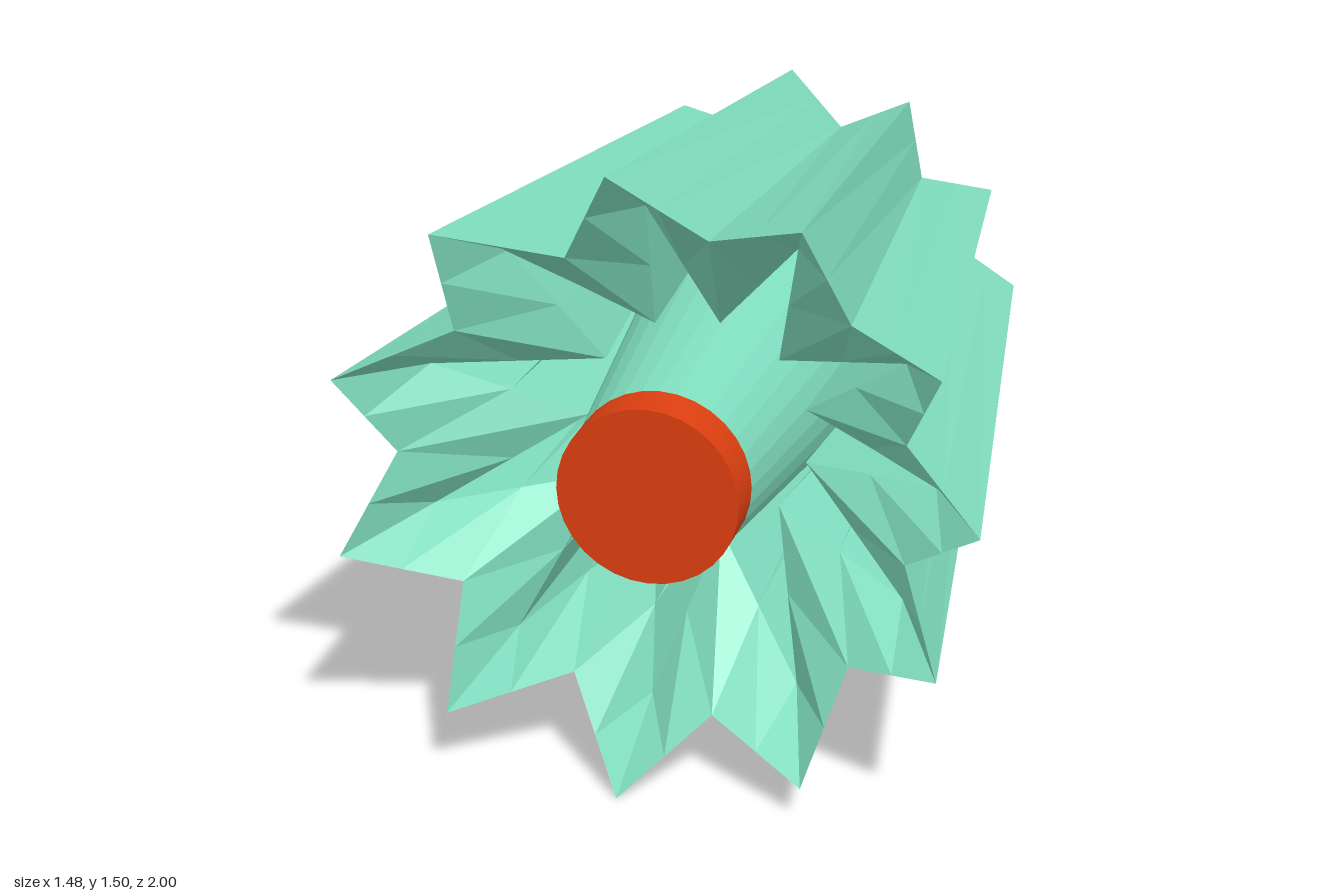
import * as THREE from 'three';

const CX = -0.015, CY = 0.753, SUB = 2;
const green = new THREE.MeshStandardMaterial({ color: 0x7fdcbd, flatShading: true, side: THREE.DoubleSide });
const red = new THREE.MeshStandardMaterial({ color: 0xdc3f10, side: THREE.DoubleSide });

// Half of the star, mirrored below: angles in degrees, ridge and valley alternating
const HALF_ANGLES = [0, 14.4, 28.3, 43.4, 61.7, 78.5, 95.7, 112.6, 129.3, 146.9, 163.3, 180];
const VALLEY_RADII = [0.58, 0.6, 0.588, 0.55, 0.567, 0.622];
const CORNERS = 22;

function cornerAngle(i) {
  const deg = i < 12 ? HALF_ANGLES[i] : 360 - HALF_ANGLES[CORNERS - i];
  return THREE.MathUtils.degToRad(deg);
}

// Closed ring of points; corner(i, isRidge) gives [radius, z]
function ring(corner) {
  const pts = [];
  for (let i = 0; i < CORNERS; i++) {
    const a = cornerAngle(i);
    const [r, z] = corner(i, i % 2 === 0);
    pts.push(new THREE.Vector3(r * Math.cos(a), r * Math.sin(a), z));
  }
  return pts.flatMap((p, i) =>
    Array.from({ length: SUB }, (_, k) => p.clone().lerp(pts[(i + 1) % CORNERS], k / SUB)));
}

// Round ring with points at the same spacing as the star rings
function circle(r, z) {
  return ring(() => [1, z]).map((p) => {
    const a = Math.atan2(p.y, p.x);
    return new THREE.Vector3(r * Math.cos(a), r * Math.sin(a), z);
  });
}

// Skin a list of rings
function skin(rings) {
  const pos = [];
  const add = (...ps) => ps.forEach((p) => pos.push(p.x, p.y, p.z));
  for (let k = 0; k + 1 < rings.length; k++) {
    const A = rings[k], B = rings[k + 1], n = A.length;
    for (let i = 0; i < n; i++) {
      const j = (i + 1) % n;
      // Split each face along the diagonal that mirrors about its ridge
      if (Math.floor(i / SUB) % 2 === 0) {
        add(A[i], B[j], B[i]);
        add(A[i], A[j], B[j]);
      } else {
        add(A[i], A[j], B[i]);
        add(A[j], B[j], B[i]);
      }
    }
  }
  const geo = new THREE.BufferGeometry();
  geo.setAttribute('position', new THREE.Float32BufferAttribute(pos, 3));
  geo.computeVertexNormals();
  return geo;
}

function part(name, geometry, material, parent) {
  const mesh = new THREE.Mesh(geometry, material);
  mesh.name = name;
  parent.add(mesh);
  return mesh;
}

export function createModel() {
  const model = new THREE.Group();
  model.name = 'starShapedNozzle';
  const axis = new THREE.Group();
  axis.name = 'axialParts';
  axis.position.set(CX, CY, 0);
  model.add(axis);

  // Pleated shell: rear hole, rear star, front star, recessed inner star, rear hole
  const valley = (i) => VALLEY_RADII[((i < 12 ? i : CORNERS - i) - 1) / 2];
  const hole = circle(0.365, -0.52);
  const rearStar = ring((i, ridge) => ridge ? [0.537, -0.535] : [0.405, -0.517]);
  const frontStar = ring((i, ridge) => ridge ? [0.754, 1] : [i === 11 ? 0.622 : valley(i), 0.87]);
  const innerStar = ring((i, ridge) => ridge ? [0.605, 0.75] : [0.265, 0.55]);
  part('pleatedShell', skin([frontStar, rearStar, hole, innerStar, frontStar]), green, axis);

  // Flared liner between the core and the rear hole
  const liner = new THREE.CylinderGeometry(0.21, 0.365, 1.38, 32, 1, true);
  liner.rotateX(Math.PI / 2);
  liner.translate(0, 0, 0.17);
  part('flaredLiner', liner, green, axis);

  // Core rod
  const rod = new THREE.CylinderGeometry(0.21, 0.21, 1.64, 32);
  rod.rotateX(Math.PI / 2);
  rod.translate(0, 0, 0.15);
  part('coreRod', rod, red, axis);

  // Pointed end at the rear
  const tip = new THREE.ConeGeometry(0.21, 0.33, 32, 1, true);
  tip.rotateX(-Math.PI / 2);
  tip.translate(0, 0, -0.835);
  part('coreTip', tip, red, axis);

  return model;
}
